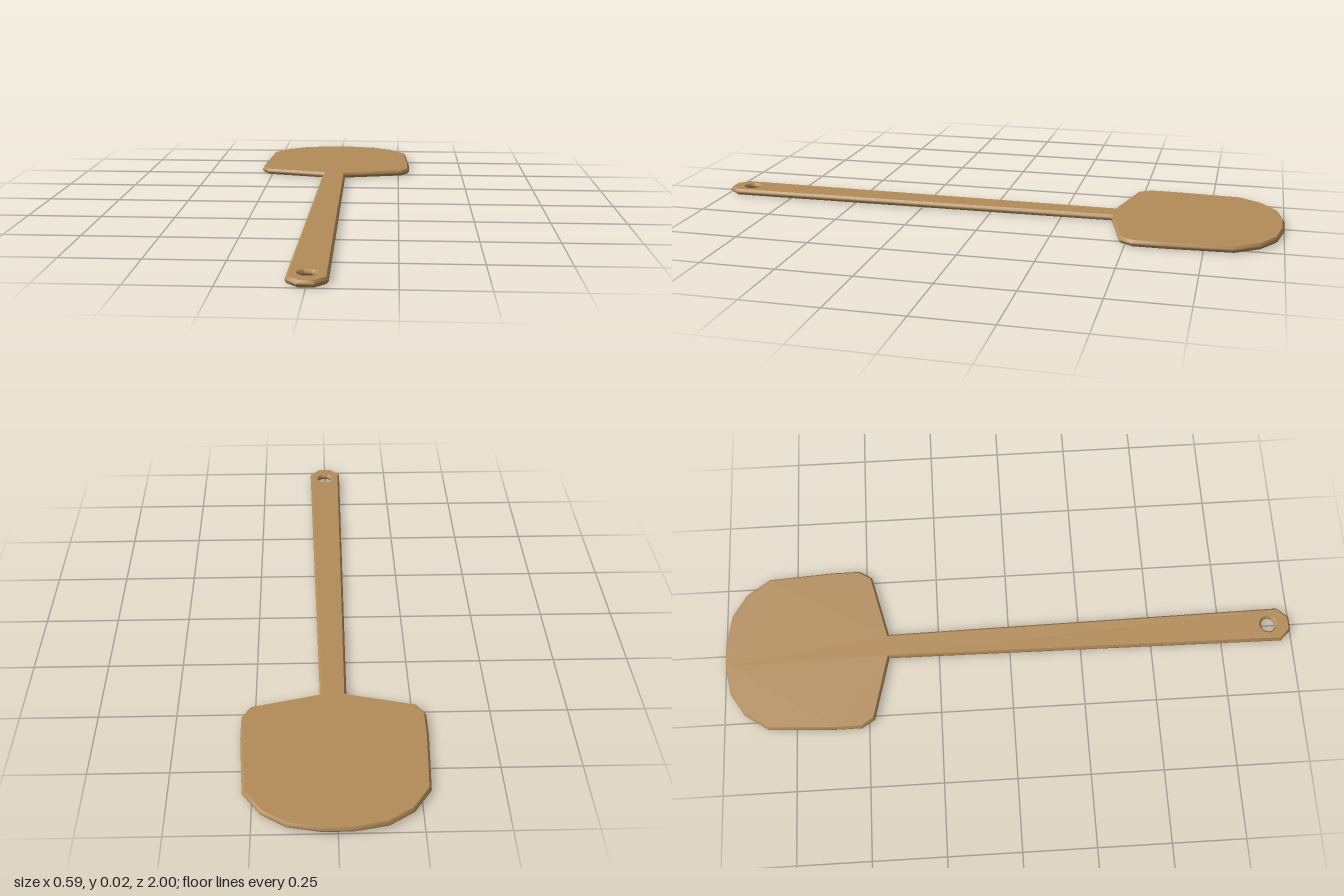
import * as THREE from 'three';
import { toCreasedNormals } from 'three/addons/utils/BufferGeometryUtils.js';

export function createModel() {
  const group = new THREE.Group();
  group.name = 'bakersPeel';
  const wood = new THREE.MeshStandardMaterial({ color: 0xb38c59 });
  wood.name = 'wood';

  // Right half of the outline as [x, z], from blade tip to handle end
  const half = [
    [0.045, -1], [0.147, -0.98], [0.224, -0.93], [0.28, -0.848], [0.293, -0.62],
    [0.293, -0.525], [0.265, -0.48], [0.043, -0.425], [0.06, 0.962], [0.025, 1],
  ];
  const mirrored = half.map(([x, z]) => [-x, z]).reverse();
  const outline = [...half, ...mirrored].map(([x, z]) => new THREE.Vector2(x, -z));
  const shape = new THREE.Shape(outline.reverse());

  // Hanging hole near the handle end
  const hole = new THREE.Path();
  hole.absarc(0, -0.923, 0.025, 0, Math.PI * 2, true);
  shape.holes.push(hole);

  // Thin board with chamfered rims, laid flat on the ground
  const thickness = 0.021, bevel = 0.008, inset = 0.007;
  const board = new THREE.ExtrudeGeometry(shape, {
    depth: thickness - 2 * bevel,
    bevelThickness: bevel,
    bevelSize: inset,
    bevelOffset: -inset,
    bevelSegments: 1,
    curveSegments: 12,
  });
  board.rotateX(-Math.PI / 2);
  board.translate(0, bevel, 0);

  const mesh = new THREE.Mesh(toCreasedNormals(board, 0.8), wood);
  mesh.name = 'bladeAndHandle';
  group.add(mesh);
  return group;
}
